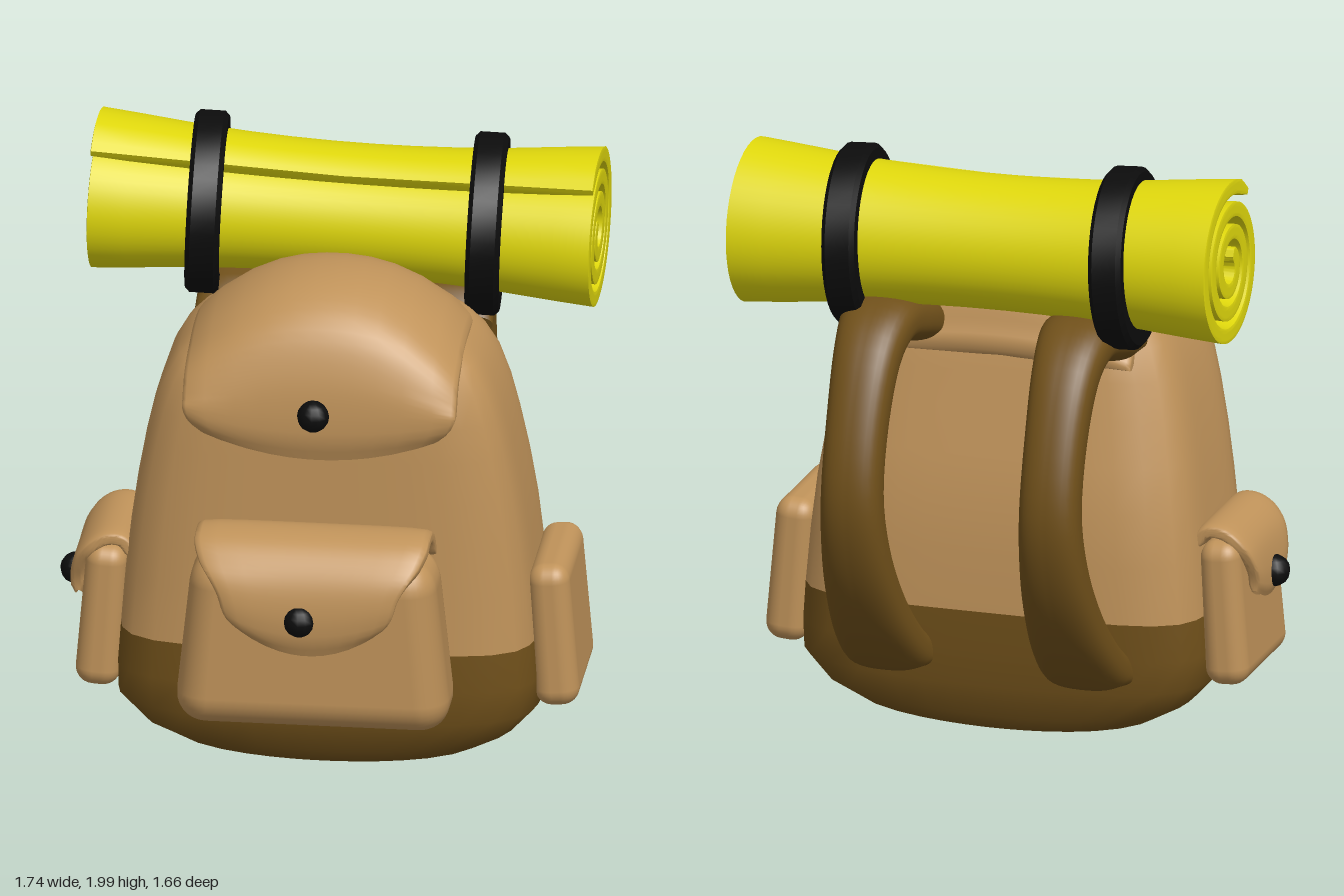
import * as THREE from 'three';
import { toCreasedNormals } from 'three/addons/utils/BufferGeometryUtils.js';
import { RoundedBoxGeometry } from 'three/addons/geometries/RoundedBoxGeometry.js';

const mat = (color) => new THREE.MeshStandardMaterial({ color, side: THREE.DoubleSide });
const TAN = mat(0xc0935a), BROWN = mat(0x70501a), BLACK = mat(0x0c0c0c), YELLOW = mat(0xe0d80c);

const mesh = (name, geometry, material, x = 0, y = 0, z = 0) => {
  const m = new THREE.Mesh(geometry, material);
  m.name = name;
  m.position.set(x, y, z);
  return m;
};

// Unit rounded-square outline: n = 2 is a circle, large n is nearly square
function outline(n, count = 40) {
  return Array.from({ length: count }, (_, i) => {
    const a = ((i + 0.5) / count) * Math.PI * 2, c = Math.cos(a), s = Math.sin(a);
    const r = 1 / Math.pow(Math.abs(c) ** n + Math.abs(s) ** n, 1 / n);
    return [c * r, s * r];
  });
}

// Closed solid through rings of points, with a fan at each capped end
function loft(rings, crease = 0.9, caps = [true, true]) {
  const n = rings[0].length, pts = rings.flat(), idx = [];
  for (let r = 0; r < rings.length - 1; r++)
    for (let i = 0; i < n; i++) {
      const a = r * n + i, b = r * n + ((i + 1) % n);
      idx.push(a, b, a + n, b, b + n, a + n);
    }
  [0, rings.length - 1].forEach((r, end) => {
    if (!caps[end]) return;
    const mid = new THREE.Vector3();
    rings[r].forEach((p) => mid.addScaledVector(p, 1 / n));
    pts.push(mid);
    for (let i = 0; i < n; i++) {
      const a = r * n + i, b = r * n + ((i + 1) % n);
      idx.push(...(end ? [a, b, pts.length - 1] : [b, a, pts.length - 1]));
    }
  });
  // Turn the faces outward if the enclosed volume is negative
  const origin = new THREE.Vector3();
  pts.forEach((p) => origin.addScaledVector(p, 1 / pts.length));
  const rel = (i) => pts[i].clone().sub(origin);
  let volume = 0;
  for (let i = 0; i < idx.length; i += 3)
    volume += rel(idx[i]).dot(rel(idx[i + 1]).cross(rel(idx[i + 2])));
  if (volume < 0) idx.reverse();
  const g = new THREE.BufferGeometry().setFromPoints(pts);
  g.setIndex(idx);
  return toCreasedNormals(g, crease);
}

// Thick band along a path of [z, y] points, its width running along x
function ribbon(path, { half, thick, n = 6, steps = 32, bend = () => {} }) {
  const curve = new THREE.CatmullRomCurve3(path.map(([z, y]) => new THREE.Vector3(0, y, z)));
  const rings = [];
  for (let i = 0; i <= steps; i++) {
    const s = i / steps, p = curve.getPoint(s), t = curve.getTangent(s);
    const k = Math.min(1, 0.5 + 0.25 * Math.min(i, steps - i));
    rings.push(outline(n).map(([u, v]) => {
      const o = v * thick * k;
      const q = new THREE.Vector3(u * half(s), p.y + t.z * o, p.z - t.y * o);
      bend(q, u, s);
      return q;
    }));
  }
  return loft(rings);
}

// Soft pouch that narrows toward its top
function pouch(w, h, d, radius, taperX, taperZ) {
  const g = new RoundedBoxGeometry(w, h, d, 4, radius), p = g.attributes.position;
  for (let i = 0; i < p.count; i++) {
    const k = p.getY(i) / h + 0.5;
    p.setX(i, p.getX(i) * (1 - taperX * k));
    p.setZ(i, p.getZ(i) * (1 - taperZ * k));
  }
  return g;
}

const button = (x, y, z) => mesh('button', new THREE.SphereGeometry(0.053, 12, 8), BLACK, x, y, z);

// Main bag: rows of [y, half width, front z, back z]
function bag(rows, caps) {
  return loft(rows.map(([y, hw, zf, zb]) => outline(5, 48).map(([a, b]) => {
    const x = a * hw, sag = 0.07 * (x / 0.6) ** 2 * Math.max(0, 1 - y / 0.25);
    return new THREE.Vector3(x + 0.03, y + sag, (zf + zb) / 2 + (b * (zf - zb)) / 2);
  })), 1.1, caps);
}

// Rolled mat with its two bands
function bedroll() {
  const g = new THREE.Group();
  g.name = 'bedroll';
  const spiral = [];
  for (let i = 0; i <= 60; i++) {
    const k = i / 60, r = 0.265 - 0.22 * k;
    const a = THREE.MathUtils.degToRad(130 - 1090 * k);
    spiral.push([-Math.cos(a) * r, Math.sin(a) * r]);
  }
  const flare = (x) => 0.82 + 0.2 * (x / 0.83) ** 2;
  g.add(mesh('rolledMat', ribbon(spiral, {
    half: () => 0.83, thick: 0.028, n: 20, steps: 140,
    bend: (q) => { const f = flare(q.x); q.y *= f; q.z *= f; },
  }), YELLOW));
  const profile = [[0.235, -0.055], [0.285, -0.055], [0.3, -0.04], [0.3, 0.04], [0.285, 0.055], [0.235, 0.055], [0.235, -0.055]];
  for (const x of [-0.465, 0.46]) {
    const lathe = new THREE.LatheGeometry(profile.map(([r, y]) => new THREE.Vector2(r, y)), 40);
    const band = mesh('rollBand', toCreasedNormals(lathe, 0.6).rotateZ(Math.PI / 2), BLACK, x, 0, 0);
    band.rotation.set(0, 0.09, -0.02);
    g.add(band);
  }
  g.position.set(0.03, 1.68, -0.31);
  g.rotation.set(0, -0.03, -0.024);
  return g;
}

export function createModel() {
  const model = new THREE.Group();
  model.name = 'backpack';

  // Bag: dark base and light upper
  const seam = [0.43, 0.687, 0.43, -0.355];
  model.add(mesh('bagBase', bag([
    [0.005, 0.3, 0.2, -0.15], [0.01, 0.52, 0.34, -0.28], [0.06, 0.62, 0.385, -0.315],
    [0.17, 0.695, 0.42, -0.34], [0.3, 0.697, 0.43, -0.35], seam,
  ], [true, false]), BROWN));
  model.add(mesh('bagUpper', bag([
    seam, [0.62, 0.67, 0.43, -0.35], [0.8, 0.65, 0.43, -0.335], [0.95, 0.628, 0.43, -0.305], [1.1, 0.6, 0.43, -0.27],
    [1.22, 0.572, 0.43, -0.245], [1.33, 0.535, 0.425, -0.22], [1.41, 0.49, 0.405, -0.19],
    [1.46, 0.44, 0.37, -0.17], [1.51, 0.36, 0.32, -0.13], [1.55, 0.22, 0.22, -0.05],
  ], [false, true]), TAN));

  // Lid: folds from the back over the top and down the front
  const lid = ribbon([[0.475, 1.13], [0.48, 1.28], [0.46, 1.42], [0.4, 1.55], [0.27, 1.625], [0.05, 1.635],
    [-0.08, 1.58], [-0.17, 1.45], [-0.2, 1.36], [-0.23, 1.29]], {
    half: (s) => 0.45 - 0.06 * Math.max(0, 1 - s / 0.1) ** 2, thick: 0.037, n: 8, steps: 40,
    bend: (q, u, s) => {
      q.y -= 0.2 * Math.abs(u) ** 2.2 * THREE.MathUtils.clamp((q.y - 1.25) / 0.39, 0, 1);
      q.y += 0.08 * u * u * Math.max(0, 1 - s / 0.2);
    },
  });
  model.add(mesh('lid', lid, TAN, 0.03), button(0.015, 1.295, 0.525));

  // Front pocket and its flap
  model.add(mesh('frontPocket', pouch(0.92, 0.6, 0.31, 0.11, 0.14, 0.03), TAN, 0.03, 0.56, 0.59));
  const pocketFlap = ribbon([[0.43, 0.8], [0.49, 0.87], [0.57, 0.9], [0.67, 0.88], [0.74, 0.8], [0.765, 0.69], [0.755, 0.55]], {
    half: (s) => 0.385 - 0.1 * THREE.MathUtils.smoothstep(s, 0.45, 0.9) - 0.06 * Math.max(0, (s - 0.85) / 0.15) ** 2,
    thick: 0.03,
    bend: (q, u, s) => { q.y += 0.08 * u * u * Math.max(0, (s - 0.6) / 0.4); },
  });
  model.add(mesh('frontPocketFlap', pocketFlap, TAN, 0.025), button(0, 0.675, 0.78));

  // Side pouches; only the one on the right closes with a flap
  for (const side of [-1, 1]) {
    const p = mesh('sidePouch', pouch(0.15, 0.49, 0.49, 0.06, 0.1, 0.06), TAN, side > 0 ? 0.768 : -0.715, 0.445, 0.035);
    p.rotation.z = side * 0.07;
    model.add(p);
  }
  const sideFlap = ribbon([[0.61, 0.66], [0.65, 0.71], [0.71, 0.71], [0.77, 0.66], [0.8, 0.56], [0.8, 0.46]], {
    half: (s) => 0.205 - 0.06 * THREE.MathUtils.smoothstep(s, 0.5, 1), thick: 0.025,
    bend: (q, u, s) => { q.y += 0.05 * u * u * Math.max(0, (s - 0.6) / 0.4); },
  }).rotateY(-Math.PI / 2);
  model.add(mesh('sidePouchFlap', sideFlap, TAN, 0, 0, 0.045), button(-0.82, 0.535, 0.055));

  // Padded shoulder straps
  for (const x of [-0.31, 0.37]) {
    const strap = ribbon([[-0.18, 1.36], [-0.32, 1.41], [-0.45, 1.435], [-0.57, 1.37], [-0.68, 1.18],
      [-0.745, 0.92], [-0.7, 0.7], [-0.58, 0.49], [-0.44, 0.34], [-0.3, 0.24]], {
      half: (s) => 0.125 + 0.025 * Math.cos(s * Math.PI * 2), thick: 0.08, n: 2.6, steps: 40,
    });
    model.add(mesh('shoulderStrap', strap, BROWN, x));
  }

  model.add(bedroll());
  return model;
}
